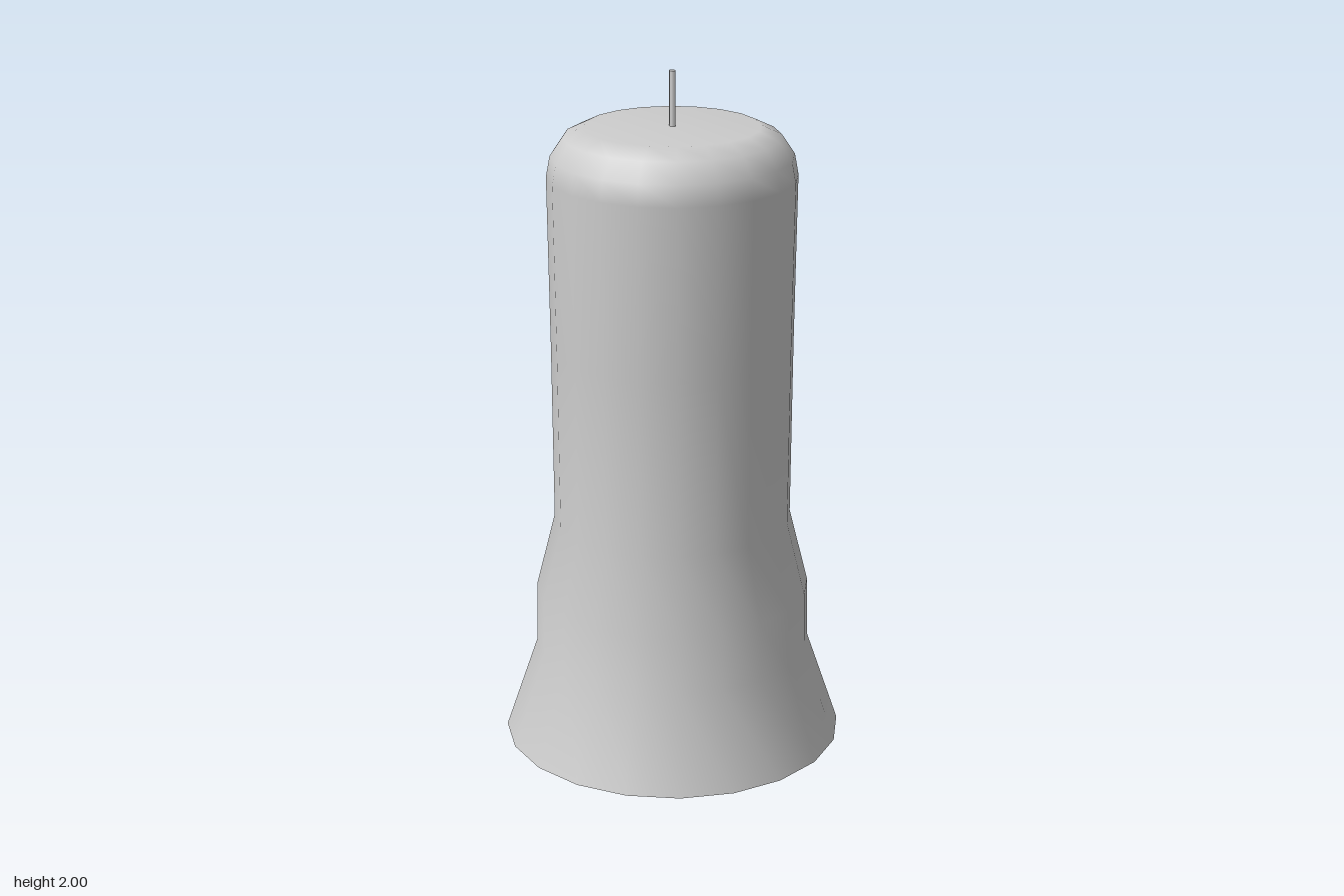
import * as THREE from 'three';

const SIDES = 20;

export function createModel() {
  const group = new THREE.Group();
  const grey = new THREE.MeshStandardMaterial({ color: 0xcccccc });
  grey.name = 'light grey';

  const add = (name, geometry) => {
    const mesh = new THREE.Mesh(geometry, grey);
    mesh.name = name;
    group.add(mesh);
    return mesh;
  };

  // Flared foot, shallow shoulder, tall shaft and rounded top
  const profile = [
    [0.5, 0], [0.405, 0.28], [0.402, 0.46], [0.347, 0.68], [0.35, 1.2], [0.356, 1.7],
    [0.345, 1.76], [0.308, 1.815], [0.25, 1.843], [0, 1.843],
  ].map(([r, y]) => new THREE.Vector2(r, y));
  add('candleBody', new THREE.LatheGeometry(profile, SIDES));

  // Flat underside
  add('base', new THREE.CircleGeometry(0.5, SIDES).rotateX(Math.PI / 2));

  // Slightly oval wick
  const wick = add('wick', new THREE.CylinderGeometry(1, 1, 0.17, 8));
  wick.scale.set(0.009, 1, 0.0125);
  wick.position.y = 1.915;

  return group;
}
